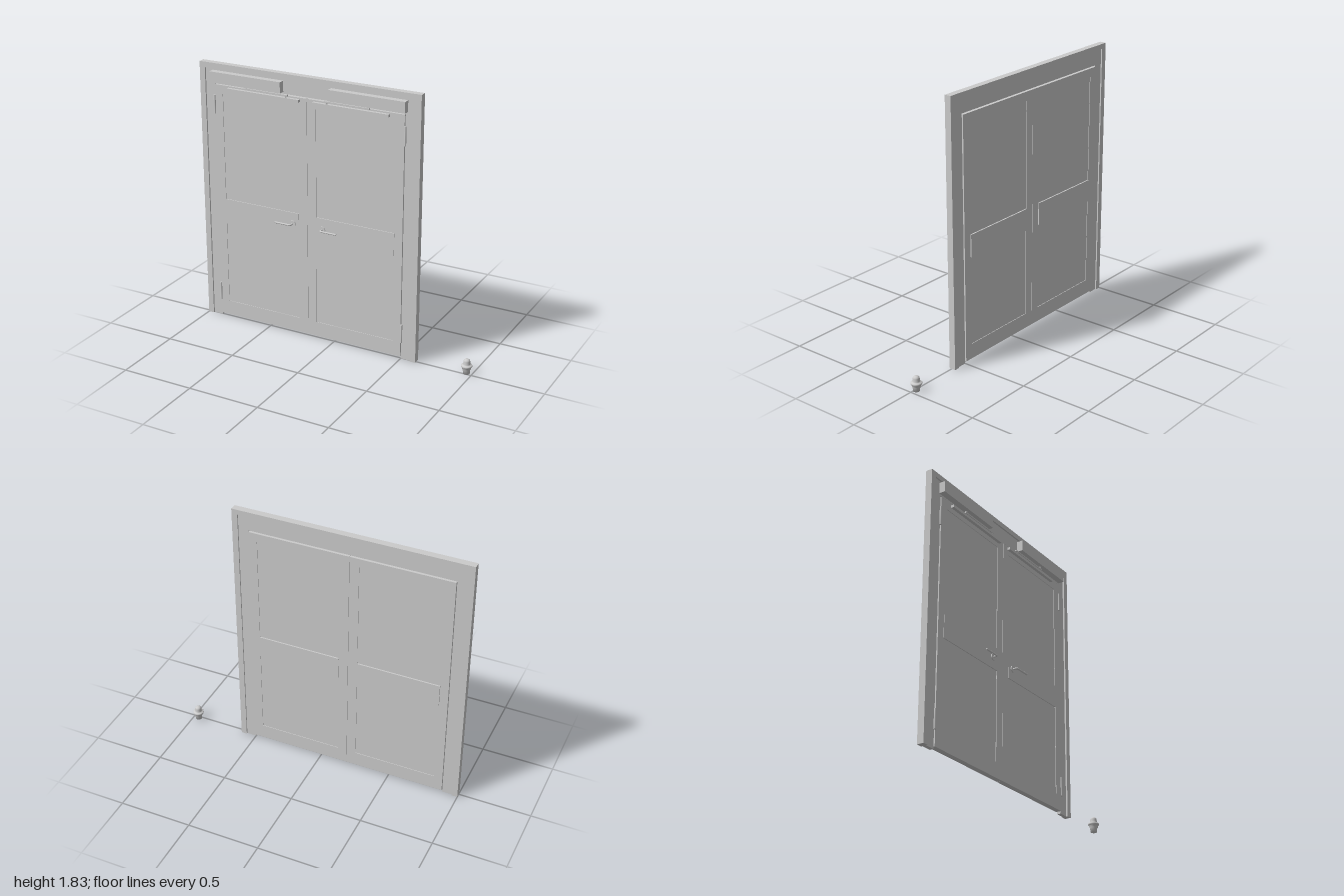
import * as THREE from 'three';

const material = new THREE.MeshStandardMaterial({ color: 0xcccccc });
const CENTRE_X = -0.195; // line where the two leaves meet

function mesh(name, geometry) {
  const m = new THREE.Mesh(geometry, material);
  m.name = name;
  return m;
}

// Box given by its limits on each axis
function block(name, x0, x1, y0, y1, z0, z1) {
  const m = mesh(name, new THREE.BoxGeometry(x1 - x0, y1 - y0, z1 - z0));
  m.position.set((x0 + x1) / 2, (y0 + y1) / 2, (z0 + z1) / 2);
  return m;
}

function rod(name, radius, length, x, y, z, alongZ = false) {
  const m = mesh(name, new THREE.CylinderGeometry(radius, radius, length, 20));
  if (alongZ) m.rotation.x = Math.PI / 2;
  m.position.set(x, y, z);
  return m;
}

function extrudeBetween(shape, z0, z1) {
  const g = new THREE.ExtrudeGeometry(shape, { depth: z1 - z0, bevelEnabled: false });
  g.translate(0, 0, z0);
  return g;
}

// Upside-down U made of two jambs and a header
function portal(name, outer, top, inner, underside, z0, z1) {
  const shape = new THREE.Shape([
    [-outer, 0], [-inner, 0], [-inner, underside], [inner, underside],
    [inner, 0], [outer, 0], [outer, top], [-outer, top],
  ].map(([x, y]) => new THREE.Vector2(x, y)));
  return mesh(name, extrudeBetween(shape, z0, z1));
}

function rectangle(Type, x0, x1, y0, y1) {
  return new Type([[x0, y0], [x1, y0], [x1, y1], [x0, y1]].map(([x, y]) => new THREE.Vector2(x, y)));
}

// Door leaf with sunken panels and a raised middle plate
function doorLeaf(s) {
  const leaf = new THREE.Group();
  leaf.name = 'doorLeaf';
  const span = (a, b) => [Math.min(s * a, s * b), Math.max(s * a, s * b)];
  const shape = rectangle(THREE.Shape, ...span(0.001, 0.692), 0.016, 1.686);
  shape.holes.push(rectangle(THREE.Path, ...span(0.065, 0.635), 0.12, 1.625));
  leaf.add(mesh('stilesAndRails', extrudeBetween(shape, -0.027, 0.012)));
  leaf.add(block('sunkenPanel', ...span(0.064, 0.636), 0.119, 1.626, -0.023, 0.008));
  leaf.add(block('middlePlate', ...span(0.066, 0.634), 0.73, 0.885, -0.032, 0.014));

  // Hinges on the outer edge
  for (const y of [0.185, 1.548]) leaf.add(rod('hinge', 0.007, 0.13, s * 0.698, y, 0.013));
  return leaf;
}

function leverHandle(s) {
  const handle = new THREE.Group();
  handle.name = 'leverHandle';
  const x = s * 0.112, y = 0.807;
  handle.add(rod('rose', 0.022, 0.008, x, y, 0.017, true));
  const path = new THREE.CurvePath();
  const p = (dx, z) => new THREE.Vector3(x + s * dx, y, z);
  path.add(new THREE.LineCurve3(p(0, 0.014), p(0, 0.036)));
  path.add(new THREE.QuadraticBezierCurve3(p(0, 0.036), p(0, 0.048), p(0.014, 0.048)));
  path.add(new THREE.LineCurve3(p(0.014, 0.048), p(0.116, 0.048)));
  handle.add(mesh('lever', new THREE.TubeGeometry(path, 48, 0.006, 12)));
  const tip = mesh('leverTip', new THREE.SphereGeometry(0.006, 12, 8));
  tip.position.copy(p(0.116, 0.048));
  handle.add(tip);
  return handle;
}

// Overhead closer: housing, spindle, arm and slide rail
function doorCloser(s) {
  const closer = new THREE.Group();
  closer.name = 'doorCloser';
  const span = (a, b) => [Math.min(s * a, s * b), Math.max(s * a, s * b)];
  closer.add(block('closerHousing', ...span(0.175, 0.71), 1.705, 1.78, 0.004, 0.049));
  closer.add(block('slideRail', ...span(0.05, 0.59), 1.658, 1.676, 0.01, 0.033));
  closer.add(block('closerArm', ...span(0.135, 0.455), 1.685, 1.695, 0.017, 0.029));
  closer.add(rod('spindle', 0.007, 0.022, s * 0.44, 1.698, 0.023));
  closer.add(rod('slidePin', 0.006, 0.018, s * 0.15, 1.682, 0.023));
  return closer;
}

// Free-standing floor stop, turned in one piece
function doorStop() {
  const profile = [
    [0, 0], [0.022, 0], [0.025, 0.034], [0.029, 0.034], [0.029, 0.045],
    [0.035, 0.048], [0.0375, 0.053], [0.0375, 0.058], [0.035, 0.062],
    [0.026, 0.064], [0.023, 0.07], [0.022, 0.088],
  ].map(([r, y]) => new THREE.Vector2(r, y));
  for (let i = 1; i <= 6; i++) {
    const a = (i / 6) * Math.PI / 2;
    profile.push(new THREE.Vector2(0.022 * Math.cos(a), 0.088 + 0.018 * Math.sin(a)));
  }
  const stop = mesh('doorStop', new THREE.LatheGeometry(profile, 32));
  stop.position.set(0.9615, 0, -0.014);
  return stop;
}

export function createModel() {
  const model = new THREE.Group();
  model.name = 'doubleDoor';

  const door = new THREE.Group();
  door.name = 'doorway';
  door.position.x = CENTRE_X;
  // Raised outer border with a shallower inner lining
  door.add(portal('frameBorder', 0.805, 1.83, 0.765, 1.795, -0.029, 0.017));
  door.add(portal('frameLining', 0.766, 1.796, 0.695, 1.693, -0.02, 0.006));

  for (const s of [-1, 1]) door.add(doorLeaf(s), leverHandle(s), doorCloser(s));

  model.add(door, doorStop());
  return model;
}
